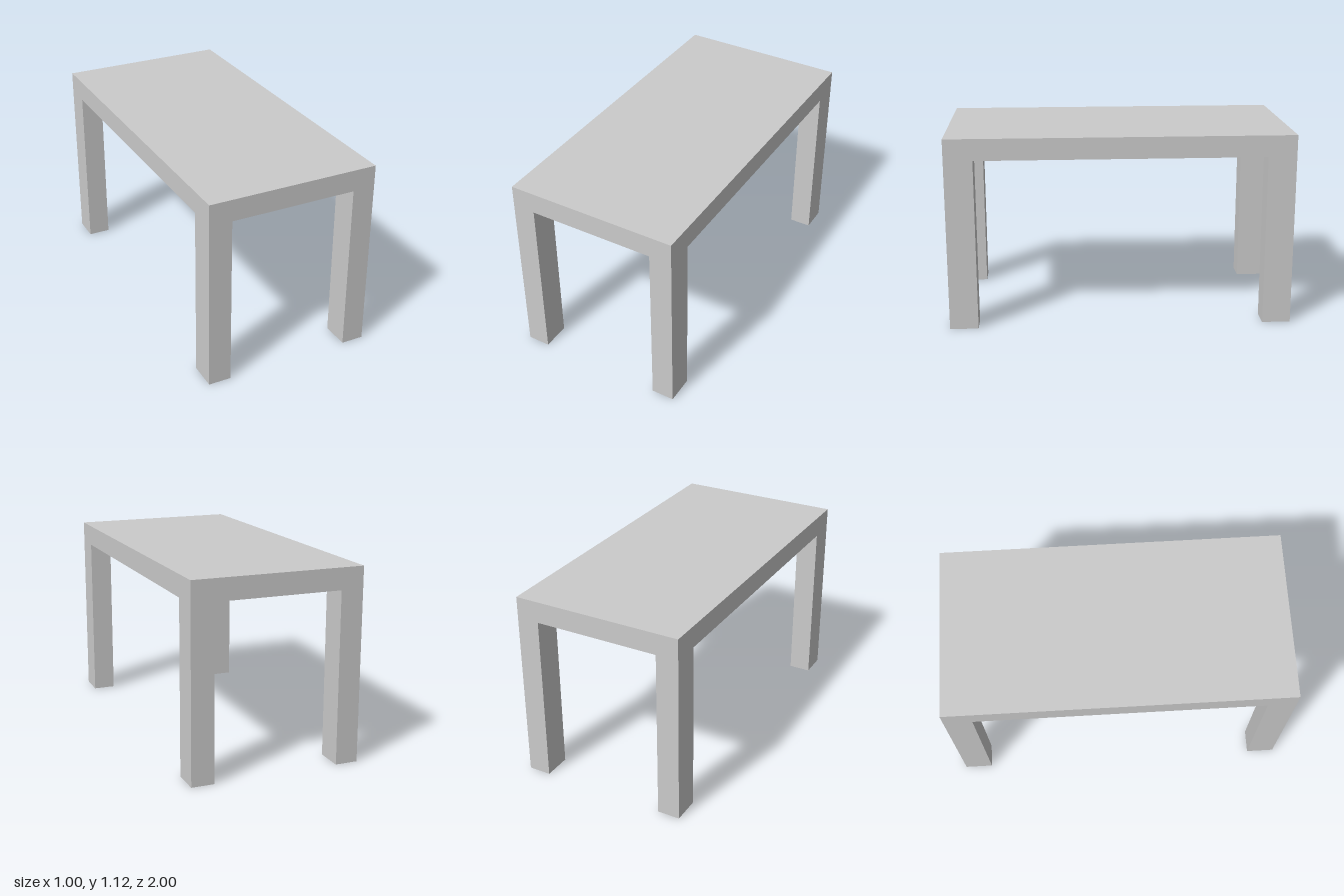
import * as THREE from 'three';

const WIDTH = 1, LENGTH = 2, HEIGHT = 1.125;
const TOP_THICKNESS = 0.125;
const LEG_WIDTH = 0.132, LEG_DEPTH = 0.165;

export function createModel() {
  const table = new THREE.Group();
  table.name = 'table';
  const material = new THREE.MeshStandardMaterial({ color: 0xcccccc, flatShading: true });

  // Box standing on the given base height
  const addBox = (name, w, h, d, x, baseY, z) => {
    const mesh = new THREE.Mesh(new THREE.BoxGeometry(w, h, d), material);
    mesh.name = name;
    mesh.position.set(x, baseY + h / 2, z);
    table.add(mesh);
  };

  // Slab top
  const legHeight = HEIGHT - TOP_THICKNESS;
  addBox('tableTop', WIDTH, TOP_THICKNESS, LENGTH, 0, legHeight, 0);

  // Four legs flush with the corners
  for (const [side, sx] of [['Left', 1], ['Right', -1]]) {
    for (const [end, sz] of [['front', 1], ['back', -1]]) {
      addBox(`${end}${side}Leg`, LEG_WIDTH, legHeight, LEG_DEPTH,
        sx * (WIDTH - LEG_WIDTH) / 2, 0, sz * (LENGTH - LEG_DEPTH) / 2);
    }
  }

  return table;
}
